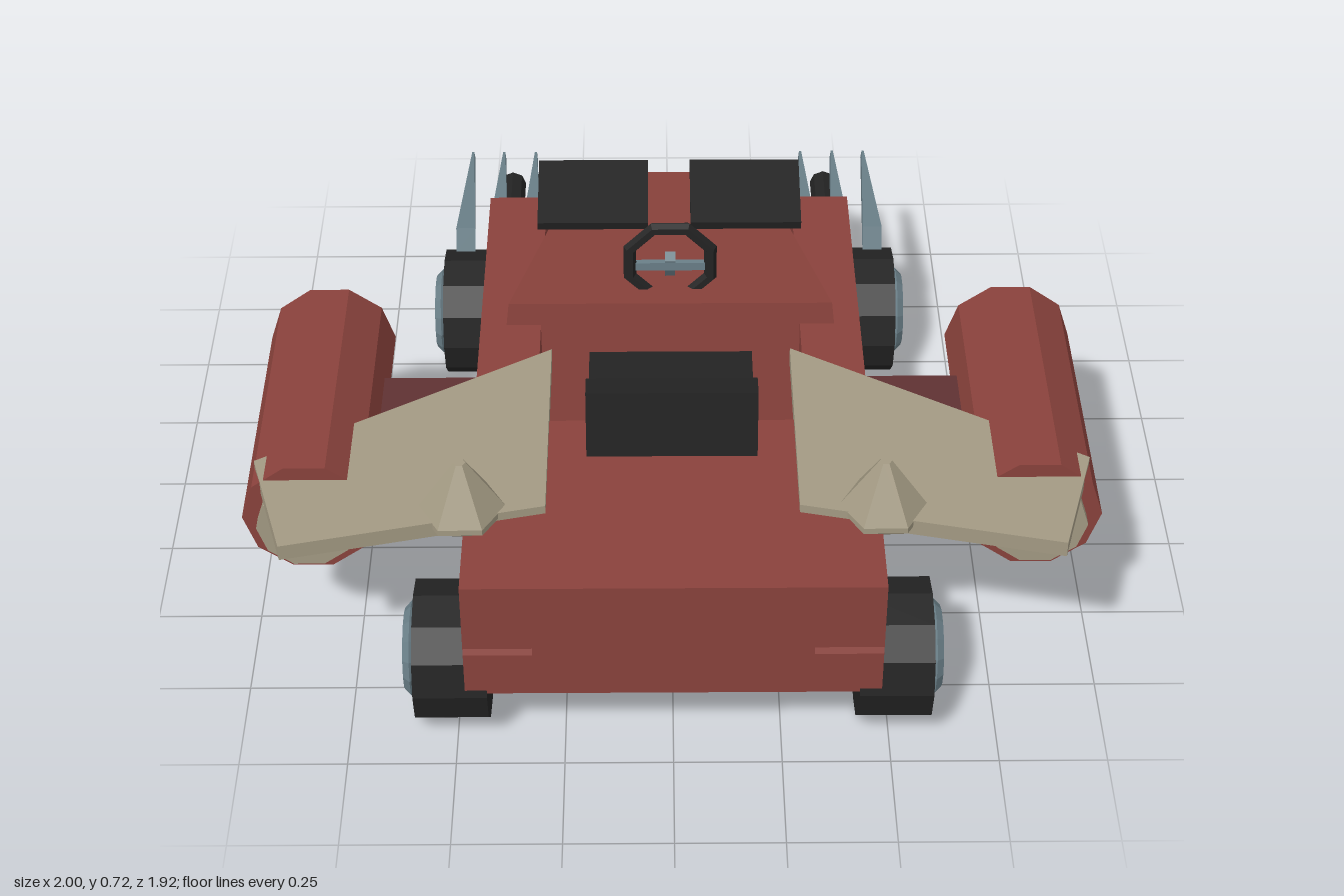
import * as THREE from 'three';

const mat = (name, color) => {
  const m = new THREE.MeshStandardMaterial({ color, flatShading: true });
  m.name = name;
  return m;
};

// Six-faced solid from four bottom and four top corners, both in the order
// (-x,+z), (+x,+z), (+x,-z), (-x,-z)
function hexahedron(bottom, top) {
  const p = [...bottom, ...top];
  const quads = [[3, 2, 1, 0], [4, 5, 6, 7], [0, 1, 5, 4], [1, 2, 6, 5], [2, 3, 7, 6], [3, 0, 4, 7]];
  const pos = [];
  for (const [a, b, c, d] of quads) for (const i of [a, b, c, a, c, d]) pos.push(...p[i]);
  const g = new THREE.BufferGeometry();
  g.setAttribute('position', new THREE.Float32BufferAttribute(pos, 3));
  g.computeVertexNormals();
  return g;
}

// Rectangle at the given x range and back/front z, each end with its own half width and height
const ring = (xBack, zBack, yBack, xFront, zFront, yFront, cx = 0) => [
  [cx - xBack, yBack, zBack], [cx + xBack, yBack, zBack],
  [cx + xFront, yFront, zFront], [cx - xFront, yFront, zFront],
];

export function createModel() {
  const model = new THREE.Group();
  model.name = 'kart';
  const red = mat('red paint', 0x8a423c);
  const maroon = mat('maroon', 0x5f3233);
  const black = mat('black rubber', 0x232323);
  const bone = mat('bone', 0xa39a83);
  const steel = mat('blue steel', 0x6a7f88);

  const add = (name, geo, material, x = 0, y = 0, z = 0, parent = model) => {
    const m = new THREE.Mesh(geo, material);
    m.name = name;
    m.position.set(x, y, z);
    parent.add(m);
    return m;
  };
  const box = (w, h, d) => new THREE.BoxGeometry(w, h, d);
  const tubeZ = (r, len, sides) =>
    new THREE.CylinderGeometry(r, r, len, sides).rotateY(Math.PI / 2).rotateX(Math.PI / 2);

  // Body
  add('rearBody', box(0.95, 0.32, 0.59), red, 0, 0.34, 0.655);
  add('nose', hexahedron(
    ring(0.44, 0.01, 0.196, 0.26, -0.82, 0.196),
    ring(0.4, -0.04, 0.548, 0.24, -0.765, 0.45)), red);

  // Seat
  add('seatCushion', box(0.4, 0.07, 0.33), black, 0, 0.432, 0.215);
  const seatBack = new THREE.Group();
  seatBack.name = 'seatBack';
  seatBack.position.set(0, 0.57, 0.448);
  seatBack.rotation.x = -0.14;
  model.add(seatBack);
  add('backrest', box(0.4, 0.19, 0.07), black, 0, 0, 0, seatBack);
  add('backrestPad', box(0.3, 0.14, 0.02), maroon, 0, 0.0, -0.045, seatBack);

  // Steering wheel, open at the bottom
  const arc = Math.PI * 1.5;
  const wheelRim = new THREE.TorusGeometry(0.104, 0.017, 6, 6, arc).rotateZ(-Math.PI / 4 + Math.PI / 8 - Math.PI / 8);
  wheelRim.rotateZ(Math.PI / 8 - Math.PI / 8);
  // Half a segment of turn gives the ring a flat top
  const flatTop = new THREE.TorusGeometry(0.108, 0.017, 6, 7, Math.PI * 1.75).rotateZ(-Math.PI * 3 / 8);
  add('steeringWheel', flatTop, black, 0, 0.612, -0.127);
  const column = add('steeringColumn', box(0.026, 0.13, 0.026), steel, 0, 0.57, -0.17);
  column.rotation.x = 0.6;
  add('steeringCrossbar', box(0.18, 0.022, 0.015), steel, 0, 0.6, -0.13);

  // Wheel with a five-spoke rim on its outer side
  function wheel(side, z, name) {
    const g = new THREE.Group();
    g.name = name;
    g.position.set(side * 0.51, 0.17, z);
    add('tyre', new THREE.CylinderGeometry(0.165, 0.165, 0.17, 12).rotateZ(Math.PI / 2), black, 0, 0, 0, g);
    const x = side * 0.095;
    add('rimRing', new THREE.TorusGeometry(0.096, 0.016, 4, 14).rotateY(Math.PI / 2), steel, x, 0, 0, g);
    add('hub', new THREE.CylinderGeometry(0.026, 0.026, 0.04, 8).rotateZ(Math.PI / 2), steel, x, 0, 0, g);
    for (let i = 0; i < 5; i++) {
      const spoke = add('spoke', box(0.024, 0.085, 0.022).translate(0, 0.05, 0), steel, x, 0, 0, g);
      spoke.rotation.x = i * Math.PI * 2 / 5;
    }
    model.add(g);
  }

  for (const s of [1, -1]) {
    const label = s > 0 ? 'left' : 'right';
    wheel(s, 0.79, label + 'RearWheel');
    wheel(s, -0.52, label + 'FrontWheel');

    // Side rail with slanted ends
    add(label + 'Rail', hexahedron(
      ring(0.078, 0.957, 0.305, 0.074, -0.69, 0.305, s * 0.396),
      ring(0.076, 0.86, 0.497, 0.074, -0.595, 0.485, s * 0.396)), red);

    // Side pod, its end cap and its arm
    add(label + 'Pod', tubeZ(0.155, 0.69, 10), red, s * 0.845, 0.41, 0.255);
    add(label + 'PodCap', tubeZ(0.115, 0.04, 10), bone, s * 0.848, 0.41, 0.62);
    add(label + 'PodArm', box(0.28, 0.08, 0.34), maroon, s * 0.59, 0.403, 0.29);

    // Fin plate
    const fin = new THREE.Shape([[0.29, 0.11], [0.97, 0.53], [0.885, 0.83], [0.29, 0.695]]
      .map(([x, z]) => new THREE.Vector2(s * x, -z)));
    add(label + 'Fin', new THREE.ExtrudeGeometry(fin, { depth: 0.04, bevelEnabled: false })
      .rotateX(-Math.PI / 2), bone, 0, 0.482, 0);

    // Six-sided stud through the fin
    const stud = [[0, 0.45], [0.03, 0.45], [0.1, 0.505], [0.1, 0.52], [0.014, 0.648], [0, 0.648]]
      .map(([r, y]) => new THREE.Vector2(r, y));
    add(label + 'Stud', new THREE.LatheGeometry(stud, 6).rotateY(Math.PI / 2), bone, s * 0.48, 0, 0.69);

    // Tilted hood panel
    const panel = add(label + 'HoodPanel', box(0.285, 0.025, 0.215), black, s * 0.197, 0.556, -0.505);
    panel.rotation.x = 0.26;

    // Exhaust pipe and spikes
    add(label + 'Exhaust', tubeZ(0.035, 0.5, 8), black, s * 0.43, 0.284, -0.71);
    for (const x of [0.363, 0.45, 0.535]) {
      add(label + 'Spike', hexahedron(
        ring(0.025, -0.505, 0.376, 0.003, -0.96, 0.366, s * x),
        ring(0.025, -0.53, 0.433, 0.003, -0.93, 0.407, s * x)), steel);
    }
  }
  return model;
}
